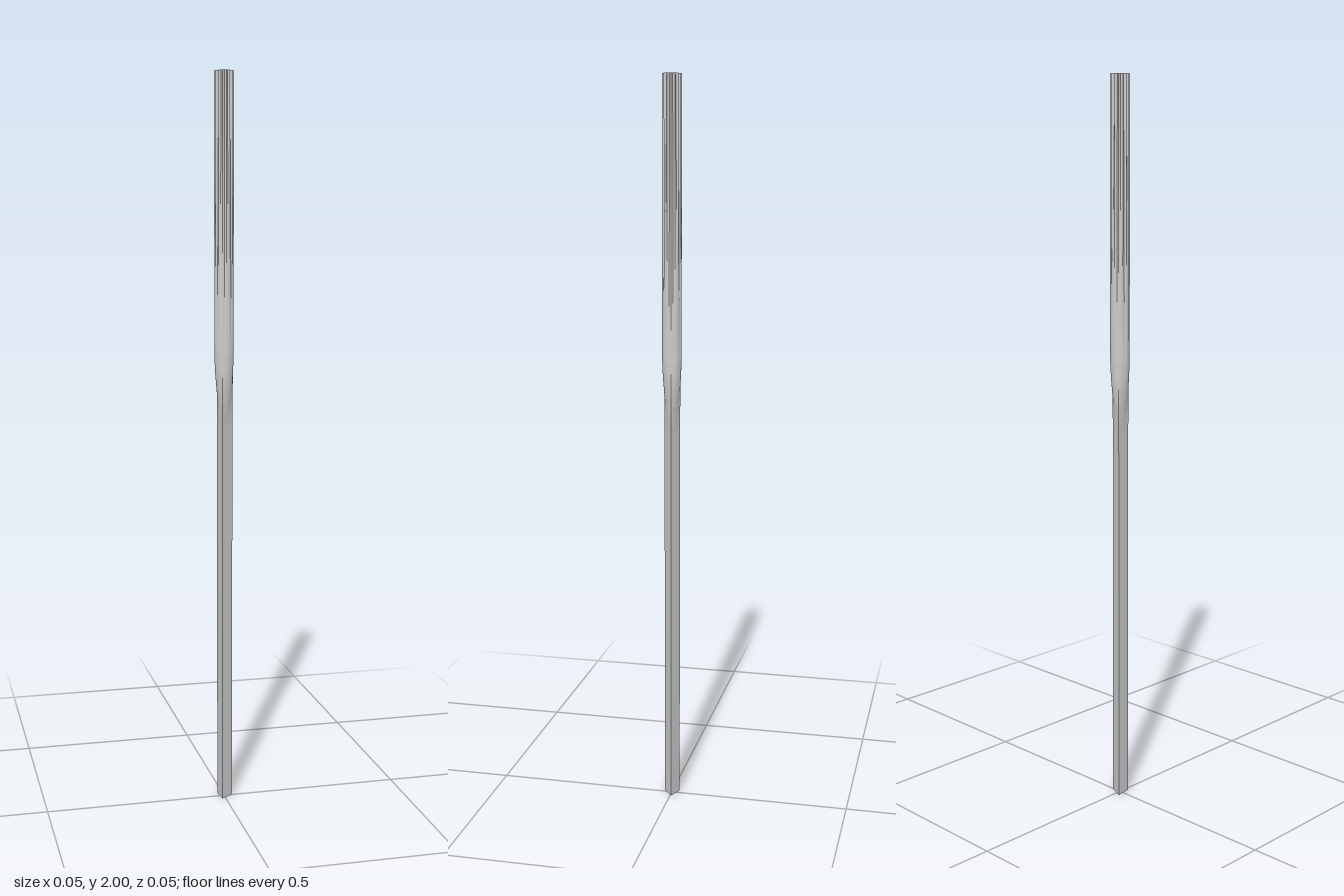
import * as THREE from 'three';

const DEG = Math.PI / 180;
const TRI_R = 0.0245;      // corner radius of the three-sided shaft
const ROUND_R = 0.0262;    // radius of the fluted upper shaft
const CORNER = -7 * DEG;   // heading of the first corner, from +x toward +z
const FLUTES = 15, SIDES = FLUTES * 4;
const JOIN = 1.06, FULL = 1.25, TOP = 2;

// distance from the axis to the outline at outline step i and height y
function radiusAt(i, y) {
  const p = (i * 360 / SIDES) % 120;
  const tri = TRI_R * 0.5 / Math.cos((p - 60) * DEG);
  // V-shaped flutes, alternately long and short, deepest at the top
  const flute = Math.floor(i / 4);
  const end = flute % 2 ? 1.5 : 1.15;
  const depth = 0.0065 * THREE.MathUtils.clamp((y - end) / (TOP - end), 0, 1);
  const notch = 1 - Math.abs((i % 4) - 2) / 2;
  const blend = THREE.MathUtils.smoothstep(y, JOIN, FULL);
  return THREE.MathUtils.lerp(tri, ROUND_R - depth * notch, blend);
}

export function createModel() {
  const group = new THREE.Group();
  group.name = 'flutedRod';
  const material = new THREE.MeshStandardMaterial({ color: 0xcccccc, flatShading: true });

  // plain three-sided lower shaft
  const lower = new THREE.CylinderGeometry(TRI_R, TRI_R, JOIN, 3, 1, false, Math.PI / 2 - CORNER);
  lower.translate(0, JOIN / 2, 0);
  const lowerMesh = new THREE.Mesh(lower, material);
  lowerMesh.name = 'triangularShaft';
  group.add(lowerMesh);

  // upper shaft: swells from the triangle to a round, fluted section
  const upper = new THREE.CylinderGeometry(1, 1, TOP - JOIN, SIDES, 20, false, Math.PI / 2 - CORNER);
  upper.translate(0, (TOP + JOIN) / 2, 0);
  const pos = upper.attributes.position;
  for (let k = 0; k < pos.count; k++) {
    const x = pos.getX(k), y = pos.getY(k), z = pos.getZ(k);
    const step = Math.round((Math.atan2(z, x) - CORNER) / (2 * Math.PI) * SIDES);
    const r = radiusAt((step + 2 * SIDES) % SIDES, y);
    pos.setXYZ(k, x * r, y, z * r);
  }
  upper.computeVertexNormals();
  const upperMesh = new THREE.Mesh(upper, material);
  upperMesh.name = 'flutedShaft';
  group.add(upperMesh);

  return group;
}
